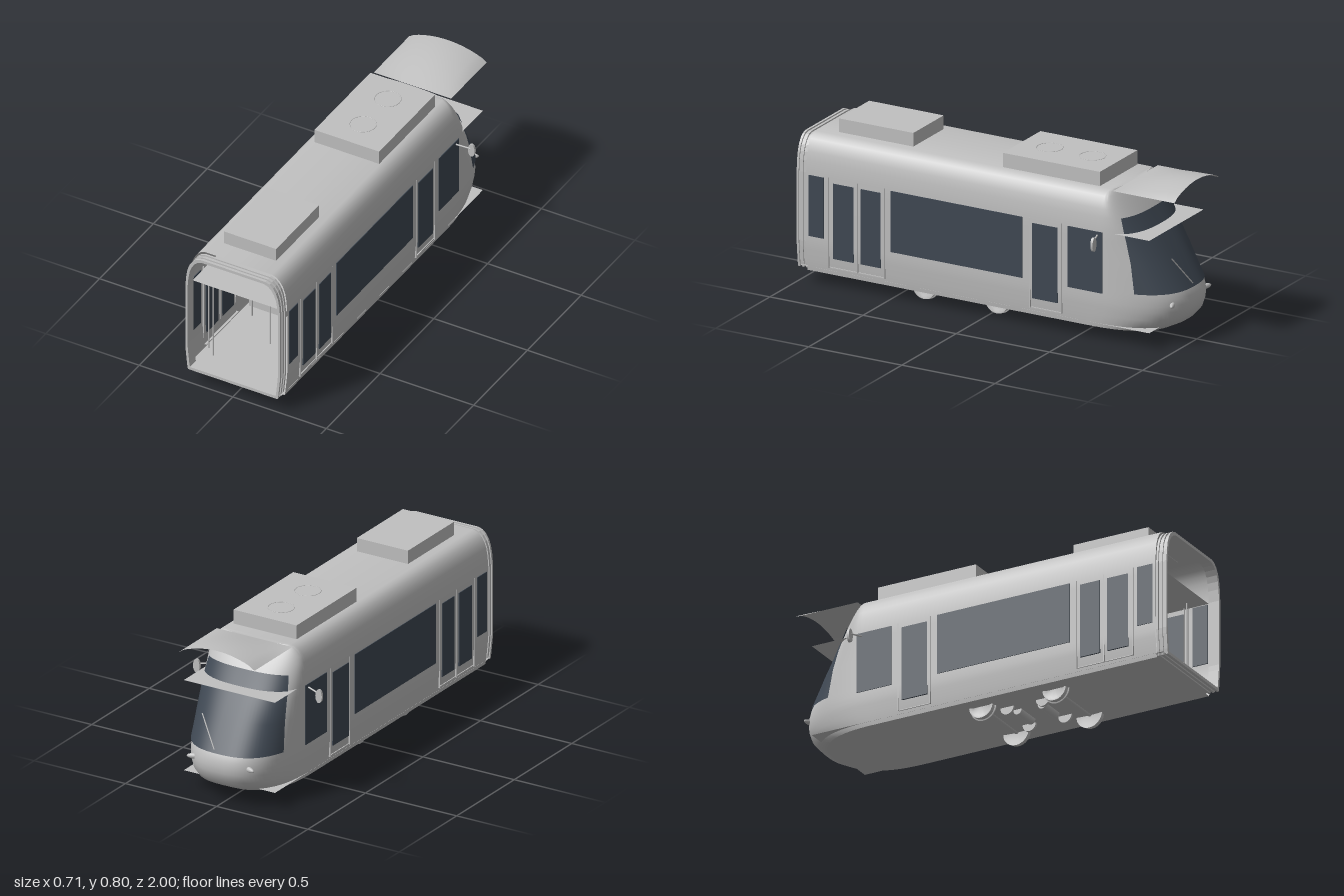
import * as THREE from 'three';
import { toCreasedNormals } from 'three/addons/utils/BufferGeometryUtils.js';

const paint = new THREE.MeshStandardMaterial({ color: 0xc0c0c0, side: THREE.DoubleSide });
paint.name = 'grey paint';
const glass = new THREE.MeshStandardMaterial({ color: 0x3f4853, side: THREE.DoubleSide });
glass.name = 'dark glass';

// Shell levels: height, half width, nose tip z, z where the nose curve begins
const LEVELS = [
  [0.065, 0, -0.9, -0.55], [0.065, 0.246, -0.9, -0.55], [0.09, 0.25, -0.95, -0.57], [0.13, 0.254, -0.985, -0.59],
  [0.17, 0.258, -0.998, -0.6], [0.2, 0.26, -1, -0.605], [0.23, 0.26, -0.996, -0.61], [0.26, 0.26, -0.984, -0.62],
  [0.4, 0.26, -0.9, -0.62], [0.5, 0.26, -0.833, -0.62], [0.55, 0.26, -0.8, -0.62], [0.61, 0.255, -0.762, -0.62],
  [0.65, 0.248, -0.733, -0.62], [0.68, 0.237, -0.712, -0.62], [0.705, 0.221, -0.692, -0.625],
  [0.722, 0.202, -0.678, -0.63], [0.73, 0.178, -0.67, -0.64], [0.73, 0, -0.67, -0.64],
];
const POW = 2 / 2.6;

// Point on the rounded nose, angle 0 (left side) to PI (right side)
function nosePoint([y, w, tip, start], a) {
  const c = Math.cos(a), s = Math.max(0, Math.sin(a));
  return [w * Math.sign(c) * Math.abs(c) ** POW, y, start + (tip - start) * s ** POW];
}

// Surface from rows of points with equal counts
function loft(rows) {
  const n = rows[0].length, index = [];
  for (let i = 0; i < rows.length - 1; i++)
    for (let j = 0; j < n - 1; j++) {
      const a = i * n + j, b = a + n;
      index.push(a, a + 1, b, a + 1, b + 1, b);
    }
  const g = new THREE.BufferGeometry();
  g.setAttribute('position', new THREE.Float32BufferAttribute(rows.flat(2), 3));
  g.setIndex(index);
  g.computeVertexNormals();
  return g;
}

export function createModel() {
  const model = new THREE.Group();
  model.name = 'tram';
  const add = (name, geo, mat = paint, x = 0, y = 0, z = 0) => {
    const m = new THREE.Mesh(geo, mat);
    m.name = name;
    m.position.set(x, y, z);
    model.add(m);
    return m;
  };
  // Box given by its limits
  const box = (name, x0, x1, y0, y1, z0, z1, mat) => add(name,
    new THREE.BoxGeometry(Math.abs(x1 - x0), Math.abs(y1 - y0), Math.abs(z1 - z0)), mat,
    (x0 + x1) / 2, (y0 + y1) / 2, (z0 + z1) / 2);
  const rod = (name, a, b, r) => add(name, new THREE.TubeGeometry(
    new THREE.LineCurve3(new THREE.Vector3(...a), new THREE.Vector3(...b)), 1, r, 8));
  const sheet = (name, w, z0, z1, y) =>
    add(name, new THREE.PlaneGeometry(w, z1 - z0).rotateX(-Math.PI / 2), paint, 0, y, (z0 + z1) / 2);

  // Body shell, open at the coupling end
  const shell = LEVELS.map((L) => {
    const row = [[L[1], L[0], 0.945]];
    for (let j = 0; j <= 40; j++) row.push(nosePoint(L, Math.PI * j / 40));
    row.push([-L[1], L[0], 0.945]);
    return row;
  });
  add('bodyShell', toCreasedNormals(loft(shell), 0.65));

  // Wraparound windscreen just proud of the nose
  const screen = LEVELS.filter((L) => L[0] >= 0.26 && L[0] <= 0.61).map((L) => {
    const depth = THREE.MathUtils.mapLinear(L[0], 0.26, 0.61, 0.5, 0.67);
    const a0 = Math.asin(depth ** (1 / POW)), row = [];
    for (let j = 0; j <= 32; j++) {
      const p = nosePoint(L, a0 + (Math.PI - 2 * a0) * j / 32);
      row.push([p[0] * 1.012, p[1], p[2] - 0.005]);
    }
    return row;
  });
  add('windscreen', loft(screen), glass);

  // Bellows made of stacked rings
  const outline = (k) => {
    const side = LEVELS.slice(1, -1).map(([y, w]) => [w * k, 0.4 + (y - 0.4) * k]);
    return side.concat(side.map(([x, y]) => [-x, y]).reverse()).map((p) => new THREE.Vector2(...p));
  };
  for (let i = 0; i < 5; i++) {
    const ring = new THREE.Shape(outline(i % 2 ? 0.955 : 0.975));
    ring.holes.push(new THREE.Path(outline(0.93)));
    add('bellowsRing', new THREE.ExtrudeGeometry(ring, { depth: 0.011, bevelEnabled: false }), paint, 0, 0, 0.945 + i * 0.011);
  }

  // Floor and ceiling sheets, and the canopy flap above the nose
  sheet('floor', 0.5, -0.89, 0.98, 0.085);
  sheet('ceiling', 0.5, -0.89, 0.94, 0.54);
  const flap = [];
  for (let i = 0; i <= 10; i++) {
    const row = [];
    for (let j = 0; j <= 16; j++) {
      const u = 1 - j / 8;
      const rise = Math.sin(i / 10 * Math.PI / 2) * Math.max(0, Math.cos(u * Math.PI / 2)) ** 0.7;
      row.push([u * 0.207, 0.732 + 0.053 * rise, -0.67 - 0.033 * i]);
    }
    flap.push(row.reverse());
  }
  add('canopyFlap', loft(flap));

  // Roof equipment with fan covers
  box('rearRoofBox', -0.14, 0.14, 0.728, 0.797, 0.44, 0.84);
  box('frontRoofBox', -0.173, 0.173, 0.728, 0.8, -0.58, -0.06);
  for (const z of [-0.44, -0.21])
    add('fanRing', new THREE.TorusGeometry(0.062, 0.002, 6, 32).rotateX(Math.PI / 2), paint, 0, 0.8, z);

  // Side windows and doors: z from, z to, y from, y to
  const panes = [
    [0.85, 0.93, 0.24, 0.54], [0.69, 0.8, 0.15, 0.52], [0.545, 0.65, 0.15, 0.52],
    [-0.215, 0.49, 0.24, 0.54], [-0.405, -0.27, 0.15, 0.52], [-0.645, -0.46, 0.24, 0.54],
  ];
  for (const s of [1, -1]) {
    for (const [z0, z1, y0, y1] of panes) box('sidePane', s * 0.255, s * 0.2635, y0, y1, z0, z1, glass);
    for (const z of [0.825, 0.67, 0.525, -0.255, -0.425]) box('doorSeam', s * 0.254, s * 0.262, 0.1, 0.545, z - 0.002, z + 0.002);
    for (const [z0, z1] of [[0.525, 0.825], [-0.425, -0.255]]) box('doorSill', s * 0.24, s * 0.256, 0.1, 0.104, z0, z1);

    // Mirror on its arm
    rod('mirrorArm', [s * 0.25, 0.525, -0.615], [s * 0.33, 0.512, -0.635], 0.004);
    const m = new THREE.Shape().absellipse(0, 0, 0.018, 0.034, 0, Math.PI * 2);
    const face = add('mirror', new THREE.ExtrudeGeometry(m, { depth: 0.012, bevelEnabled: false, curveSegments: 16 }), paint, s * 0.335, 0.503, -0.646);
    face.scale.x = 1.0;

    // Headlamp
    const lamp = add('headlamp', new THREE.SphereGeometry(1, 16, 10), paint, s * 0.15, 0.205, -0.957);
    lamp.scale.set(0.036, 0.013, 0.012);
    lamp.rotation.y = s * 0.35;

    // Wheels with flange
    for (const z of [0.36, -0.03]) {
      const profile = [[0, -0.008], [0.045, -0.008], [0.055, -0.014], [0.062, -0.014], [0.062, 0.008], [0.068, 0.01], [0.068, 0.015], [0.045, 0.012], [0, 0.008]];
      const wheel = toCreasedNormals(new THREE.LatheGeometry(profile.map((p) => new THREE.Vector2(...p)), 32), 0.6);
      add('wheel', wheel.rotateZ(s * Math.PI / 2), paint, s * 0.166, 0.068, z);
    }
    for (const z of [0.26, 0.07])
      add('brakeDisc', new THREE.CylinderGeometry(0.035, 0.035, 0.012, 24).rotateZ(Math.PI / 2), paint, s * 0.105, 0.063, z);

    // Cabin fittings: poles, plinths and seats
    for (const z of [0.86, 0.5]) rod('pole', [s * 0.185, 0.085, z], [s * 0.185, 0.535, z], 0.004);
    rod('doorRail', [s * 0.232, 0.085, 0.82], [s * 0.232, 0.535, 0.82], 0.004);
    box('wheelPlinth', s * 0.04, s * 0.235, 0.085, 0.125, -0.12, 0.44);
    box('wheelCover', s * 0.16, s * 0.205, 0.125, 0.16, -0.08, 0.41);
    for (const z of [0.4, 0.16, -0.08]) for (const x of [0.05, 0.146]) {
      box('seatCushion', s * x, s * (x + 0.09), 0.208, 0.23, z - 0.1, z);
      box('seatBack', s * x, s * (x + 0.09), 0.21, 0.365, z - 0.11, z - 0.095);
      box('seatLeg', s * (x + 0.03), s * (x + 0.06), 0.125, 0.21, z - 0.07, z - 0.04);
    }
  }
  rod('centrePole', [0, 0.085, 0.65], [0, 0.54, 0.65], 0.004);

  // Axles and motors under the floor
  for (const z of [0.36, -0.03])
    add('axle', new THREE.CylinderGeometry(0.01, 0.01, 0.32, 12).rotateZ(Math.PI / 2), paint, 0, 0.068, z);
  for (const z of [0.23, 0.1])
    add('motor', new THREE.CylinderGeometry(0.022, 0.022, 0.13, 20).rotateZ(Math.PI / 2), paint, 0, 0.062, z);

  // Driver partition with its screens
  const wall = new THREE.Shape();
  wall.moveTo(-0.235, 0.085).lineTo(0.235, 0.085).lineTo(0.235, 0.49);
  wall.quadraticCurveTo(0.235, 0.539, 0.185, 0.539).lineTo(-0.185, 0.539);
  wall.quadraticCurveTo(-0.235, 0.539, -0.235, 0.49);
  add('driverPartition', new THREE.ExtrudeGeometry(wall, { depth: 0.008, bevelEnabled: false }), paint, 0, 0, -0.66);
  box('partitionWindow', -0.178, -0.067, 0.365, 0.44, -0.652, -0.648, glass);
  box('displayFrame', -0.068, 0.068, 0.474, 0.526, -0.652, -0.646);
  box('displayPanel', -0.062, 0.062, 0.479, 0.521, -0.646, -0.643, glass);

  // Wiper
  rod('wiper', [0.12, 0.42, -0.935], [0.02, 0.28, -0.99], 0.003);
  return model;
}
